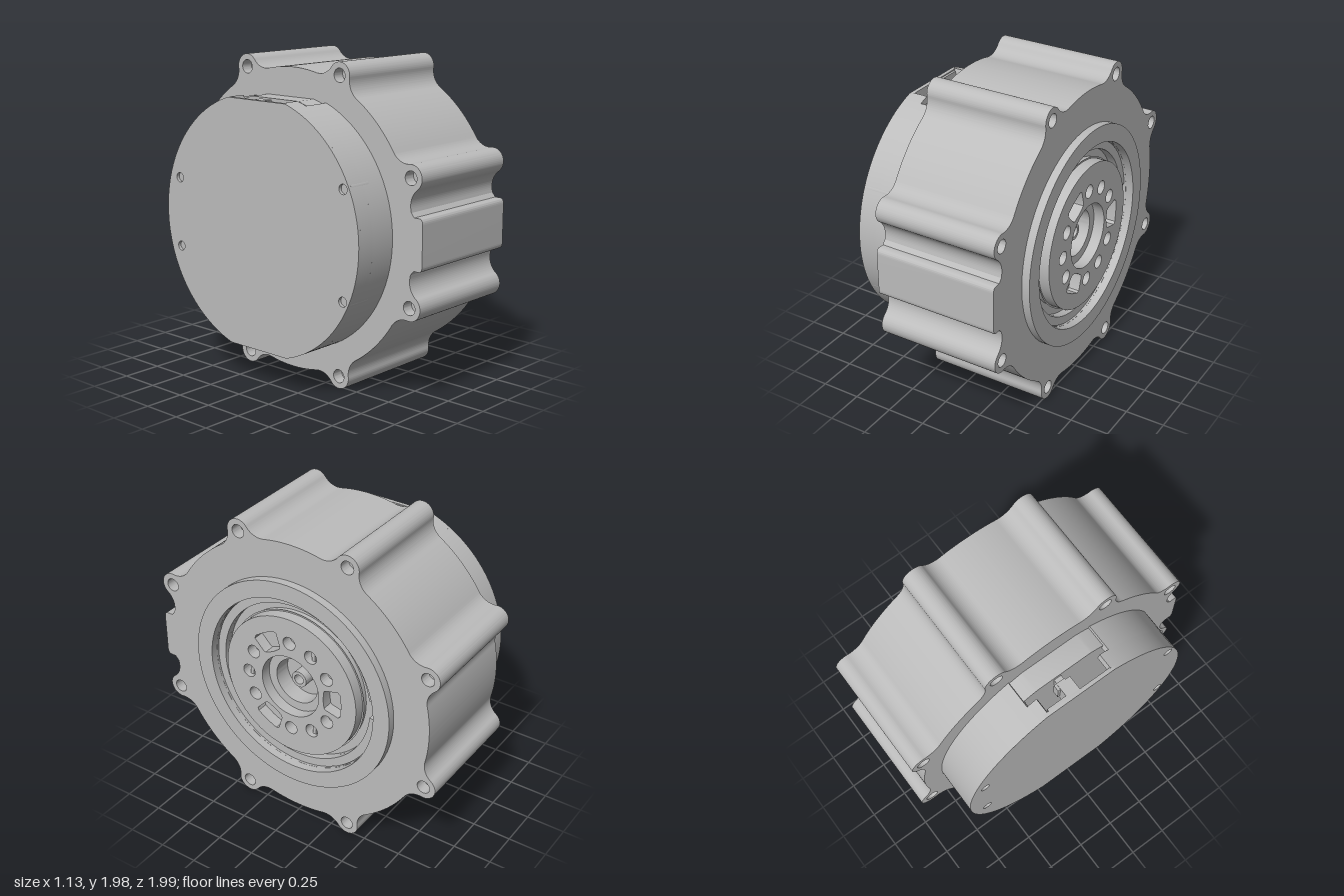
import * as THREE from 'three';
import { toCreasedNormals } from 'three/addons/utils/BufferGeometryUtils.js';

export function createModel() {
  const model = new THREE.Group();
  model.name = 'gearMotor';
  const metal = new THREE.MeshStandardMaterial({ color: 0xbcbcbc });
  metal.name = 'plain grey metal';
  const axisY = 0.992;
  const TAU = Math.PI * 2, rad = THREE.MathUtils.degToRad;

  const add = (name, geometry) => {
    geometry.translate(0, axisY, 0);
    const mesh = new THREE.Mesh(geometry, metal);
    mesh.name = name;
    model.add(mesh);
  };
  // Profiles lie in a plane with u = -z and v = y, and run along x
  const extrude = (name, shape, x0, x1, curveSegments = 24) => {
    const g = new THREE.ExtrudeGeometry(shape, { depth: x1 - x0, bevelEnabled: false, curveSegments });
    g.rotateY(Math.PI / 2).translate(x0, 0, 0);
    add(name, toCreasedNormals(g, 0.5));
  };
  const circle = (u, v, r, Kind = THREE.Path) => new Kind().absarc(u, v, r, 0, TAU, false);
  const disc = (u, v, r) => circle(u, v, r, THREE.Shape);
  const sector = (u, r0, r1, a0, a1) => {
    const s = new THREE.Shape();
    s.absarc(u, 0, r1, a0, a1, false);
    s.absarc(u, 0, r0, a1, a0, true);
    s.closePath();
    return s;
  };
  const clippedDisc = (u, r, h) => {
    const a = Math.asin(h / r), s = new THREE.Shape();
    s.absarc(u, 0, r, -a, a, false);
    s.absarc(u, 0, r, Math.PI - a, Math.PI + a, false);
    s.closePath();
    return s;
  };
  const box = (name, x0, x1, y0, y1, z0, z1) =>
    add(name, new THREE.BoxGeometry(x1 - x0, y1 - y0, z1 - z0)
      .translate((x0 + x1) / 2, (y0 + y1) / 2, (z0 + z1) / 2));

  // Housing: round body blended into eight bolt lugs
  const R = 0.936, L = 0.988, lug = 0.078, f = 0.12;
  const delta = Math.acos(((R + f) ** 2 + L ** 2 - (lug + f) ** 2) / (2 * (R + f) * L));
  const lugCentres = [];
  const housing = new THREE.Shape();
  for (let i = 0; i < 8; i++) {
    const t = rad(22.5 + 45 * i);
    const at = (r, a) => new THREE.Vector2(r * Math.cos(a), r * Math.sin(a));
    const c = at(L, t), p = at(R + f, t - delta), q = at(R + f, t + delta);
    const dir = (from, to) => Math.atan2(to.y - from.y, to.x - from.x);
    housing.absarc(p.x, p.y, f, t - delta + Math.PI, dir(p, c), true);
    housing.absarc(c.x, c.y, lug, dir(c, p), dir(c, q), false);
    housing.absarc(q.x, q.y, f, dir(q, c), t + delta + Math.PI, true);
    housing.absarc(0, 0, R, t + delta, t + Math.PI / 4 - delta, false);
    housing.holes.push(circle(c.x, c.y, 0.042));
    lugCentres.push(c);
  }
  housing.closePath();
  housing.holes.push(circle(0, 0, 0.59));
  extrude('housing', housing, -0.275, 0.515, 20);
  lugCentres.forEach((c) => extrude('lugHoleFloor', disc(c.x, c.y, 0.05), -0.2, 0.44, 12));

  // Flat pad on the front side of the housing
  const pad = new THREE.Shape();
  pad.moveTo(-0.85, -0.19).lineTo(-0.91, -0.19).lineTo(-0.94, -0.155).lineTo(-0.98, -0.155)
    .quadraticCurveTo(-1, -0.15, -1, -0.12).lineTo(-1, 0.12).quadraticCurveTo(-1, 0.15, -0.98, 0.155)
    .lineTo(-0.94, 0.155).lineTo(-0.91, 0.19).lineTo(-0.85, 0.19).closePath();
  extrude('sidePad', pad, -0.275, 0.515);

  // Raised output ring, stepped groove and centre bore
  const lathe = (name, pts) => {
    const g = new THREE.LatheGeometry(pts.map(([r, x]) => new THREE.Vector2(r, x)), 96);
    g.rotateZ(-Math.PI / 2);
    add(name, toCreasedNormals(g, 0.5));
  };
  lathe('outputRing', [[0.70, 0.51], [0.70, 0.565], [0.59, 0.565], [0.59, 0.47],
    [0.53, 0.47], [0.53, 0.45], [0.46, 0.45]]);
  lathe('centreBore', [[0.48, 0.49], [0.15, 0.49], [0.15, 0.38], [0.053, 0.38], [0.053, 0.47],
    [0.032, 0.47], [0.032, 0.4], [0, 0.4]]);
  extrude('retainingRing', sector(0, 0.53, 0.585, rad(8), rad(355)), 0.46, 0.505, 64);

  // Output disc with nine bolt holes and three pockets
  const flange = disc(0, 0, 0.47);
  flange.holes.push(circle(0, 0, 0.207));
  for (let i = 0; i < 12; i++) {
    const a = rad(30 * i);
    if (i % 4) {
      flange.holes.push(circle(0.305 * Math.cos(a), 0.305 * Math.sin(a), 0.043));
    } else {
      const pts = [[0.245, -0.06], [0.26, -0.07], [0.345, -0.09], [0.36, -0.075], [0.366, 0],
        [0.36, 0.075], [0.345, 0.09], [0.26, 0.07], [0.245, 0.06], [0.238, 0]];
      flange.holes.push(new THREE.Path(pts.map(([u, v]) =>
        new THREE.Vector2(u, v).rotateAround(new THREE.Vector2(), a))));
    }
  }
  extrude('outputDisc', flange, 0.44, 0.56, 48);
  // Pin bars seen in three of the bolt holes
  [60, 180, 300].forEach((d) => {
    const u = 0.305 * Math.cos(rad(d)), v = 0.305 * Math.sin(rad(d));
    box('holePin', 0.48, 0.53, v - 0.04, v + 0.04, -u - 0.012, -u + 0.012);
  });

  // Rear cover: inner block, curved walls open at top and bottom, end plate
  const cu = 0.012, rc = 0.797;
  extrude('rearBlock', clippedDisc(cu, 0.78, 0.757), -0.41, -0.27, 48);
  for (const side of [0, Math.PI]) {
    const outer = Math.acos(0.222 / rc) , inner = Math.acos(0.287 / rc);
    const aOuter = outer, aInner = inner;
    extrude('coverWallRear', sector(cu, 0.755, rc, side - aOuter, side + aOuter), -0.55, -0.45, 48);
    extrude('coverWallFront', sector(cu, 0.755, rc, side - aInner, side + aInner), -0.45, -0.275, 48);
  }
  const plate = clippedDisc(cu, rc, 0.762);
  const screws = [[-0.667, 0.325], [-0.667, -0.325], [0.69, 0.22], [0.69, -0.22]];
  screws.forEach(([u, v]) => plate.holes.push(circle(u, v, 0.03)));
  extrude('endPlate', plate, -0.57, -0.545, 48);
  screws.forEach(([u, v]) => extrude('screwPost', disc(u, v, 0.045), -0.55, -0.4, 16));

  // Connector bridge and pin in the top opening
  box('connectorBridge', -0.55, -0.45, 0.6, 0.755, -0.088, 0.0);
  box('connectorLip', -0.55, -0.53, 0.6, 0.755, -0.22, -0.08);
  box('connectorPin', -0.48, -0.44, 0.64, 0.75, -0.105, -0.03);
  box('connectorPinFoot', -0.45, -0.40, 0.66, 0.73, -0.08, -0.03);

  return model;
}
